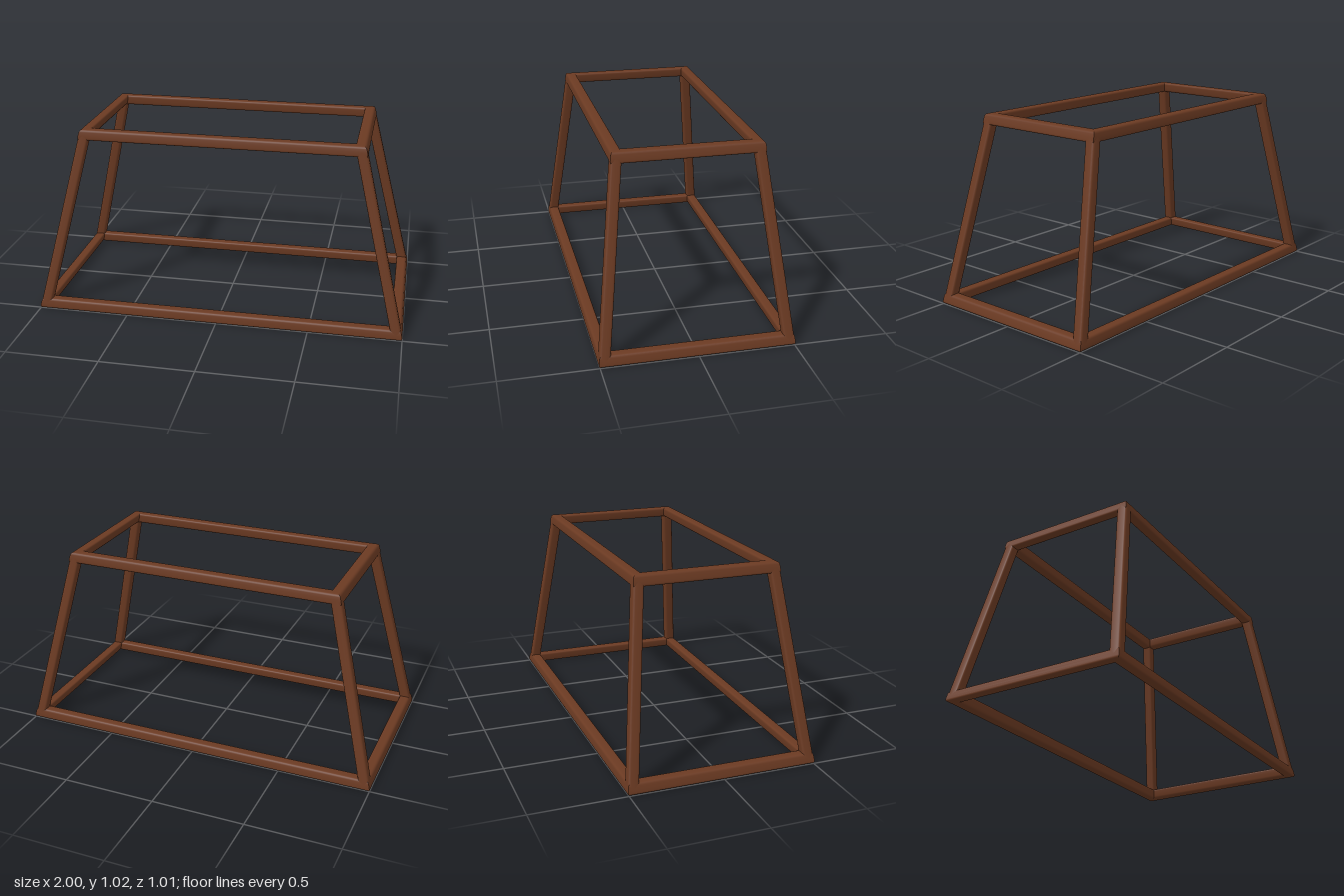
import * as THREE from 'three';

const HALF = 0.029;   // half the bar thickness
const SIDES = 24;

// Corner centres of the two rectangular rings
const BASE = { x: 0.968, y: 0.029, z: 0.474 };
const TOP = { x: 0.734, y: 0.99, z: 0.36 };
const RISE = TOP.y - BASE.y;
const LEAN_X = (BASE.x - TOP.x) / RISE;
const LEAN_Z = (BASE.z - TOP.z) / RISE;

// Signs of the four corners, running round from the front right
const CORNERS = [[-1, 1], [1, 1], [1, -1], [-1, -1]];

// Softly rounded square cross-section
const SECTION = Array.from({ length: SIDES }, (_, i) => {
  const a = (i / SIDES) * Math.PI * 2;
  const round = (c) => Math.sign(c) * Math.pow(Math.abs(c), 0.45) * HALF;
  return [round(Math.cos(a)), round(Math.sin(a))];
});

// Smooth tube between two matching cross-sections
function loft(a, b) {
  const n = a.length;
  const index = [];
  for (let i = 0; i < n; i++) {
    const j = (i + 1) % n;
    index.push(i, n + i, j, j, n + i, n + j);
  }
  const geometry = new THREE.BufferGeometry();
  geometry.setAttribute('position', new THREE.Float32BufferAttribute([...a, ...b].flat(), 3));
  geometry.setIndex(index);
  geometry.computeVertexNormals();
  return geometry;
}

// Mitred section at a ring corner, sheared to follow the leaning walls
const mitre = (ring, [sx, sz]) => SECTION.map(([u, v]) => [
  sx * (ring.x + u - LEAN_X * v),
  ring.y + v,
  sz * (ring.z + u - LEAN_Z * v),
]);

// Level section through a corner post
const level = (ring, [sx, sz]) => SECTION.map(([u, v]) => [
  sx * ring.x + u, ring.y, sz * ring.z + v,
]);

export function createModel() {
  const group = new THREE.Group();
  group.name = 'taperedFrame';
  const wood = new THREE.MeshStandardMaterial({ color: 0x6b3a22 });
  wood.name = 'brown wood';

  const add = (name, geometry) => {
    const mesh = new THREE.Mesh(geometry, wood);
    mesh.name = name;
    group.add(mesh);
  };

  const sides = ['Front', 'Left', 'Back', 'Right'];
  const posts = ['FrontRight', 'FrontLeft', 'BackLeft', 'BackRight'];
  CORNERS.forEach((corner, i) => {
    const next = CORNERS[(i + 1) % 4];
    add('baseRail' + sides[i], loft(mitre(BASE, corner), mitre(BASE, next)));
    add('topRail' + sides[i], loft(mitre(TOP, corner), mitre(TOP, next)));
    add('post' + posts[i], loft(level(BASE, corner), level(TOP, corner)));
  });
  return group;
}
